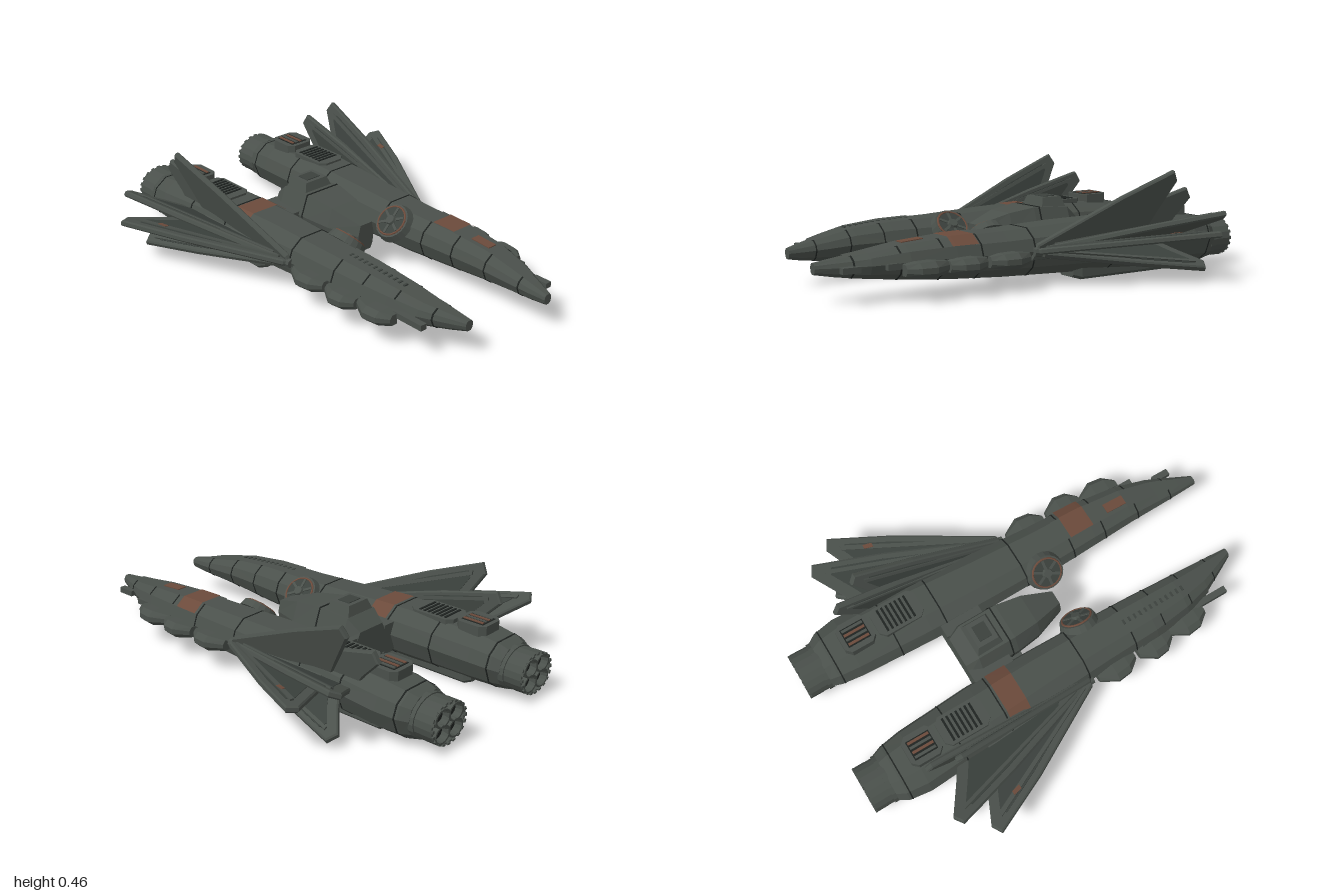
import * as THREE from 'three';

const mat = (name, color) => Object.assign(new THREE.MeshStandardMaterial({ color }), { name });

export function createModel() {
  const model = new THREE.Group();
  const armour = mat('armour grey', 0x4a504b);
  const dark = mat('dark grey', 0x3b413d);
  const seam = mat('seam black', 0x1f2321);
  const rust = mat('rust brown', 0x6b4a3b);

  // Adds a flat-shaded mesh; side -1 mirrors the geometry across x = 0
  function put(name, geo, material, side = 1) {
    const g = geo.index ? geo.toNonIndexed() : geo.clone();
    if (side < 0) {
      const p = g.attributes.position;
      for (let i = 0; i < p.count; i += 3) {
        const t = [0, 2, 1].map(k => new THREE.Vector3().fromBufferAttribute(p, i + k));
        t.forEach((v, k) => p.setXYZ(i + k, -v.x, v.y, v.z));
      }
    }
    g.computeVertexNormals();
    const mesh = new THREE.Mesh(g, material);
    mesh.name = name;
    model.add(mesh);
  }
  const box = (w, h, d, x, y, z) => new THREE.BoxGeometry(w, h, d).translate(x, y, z);

  // Skin through rings ordered along +z, counterclockwise from the front
  function loft(rings, closed = true) {
    const out = [], n = rings[0].length;
    const tri = (...v) => v.forEach(q => out.push(...q));
    for (let k = 0; k < rings.length - 1; k++)
      for (let i = 0; i < (closed ? n : n - 1); i++) {
        const j = (i + 1) % n, a = rings[k], b = rings[k + 1];
        tri(a[i], a[j], b[i]);
        tri(a[j], b[j], b[i]);
      }
    if (closed) for (let i = 1; i < n - 1; i++) {
      const a = rings[0], b = rings[rings.length - 1];
      tri(a[0], a[i + 1], a[i]);
      tri(b[0], b[i], b[i + 1]);
    }
    const g = new THREE.BufferGeometry();
    g.setAttribute('position', new THREE.Float32BufferAttribute(out, 3));
    return g;
  }

  // Hull stations: z, inner x, outer x, bottom, top
  const stations = [
    [-0.89, 0.18, 0.41, 0.03, 0.21], [-0.85, 0.165, 0.435, 0.025, 0.225], [-0.75, 0.15, 0.45, 0.025, 0.24],
    [-0.4, 0.13, 0.43, 0.03, 0.255], [-0.1, 0.13, 0.40, 0.037, 0.25], [0.2, 0.135, 0.38, 0.047, 0.238],
    [0.45, 0.145, 0.37, 0.063, 0.234], [0.65, 0.155, 0.345, 0.08, 0.22], [0.8, 0.16, 0.305, 0.094, 0.196],
    [0.92, 0.165, 0.25, 0.107, 0.178], [1.0, 0.17, 0.212, 0.12, 0.165]];
  const outline = [[1, 0.1], [0.85, 0.62], [0.45, 1], [-0.45, 1], [-0.85, 0.62],
    [-1, 0.1], [-0.8, -0.6], [-0.4, -1], [0.4, -1], [0.8, -0.6]];
  function station(z) {
    let k = 1;
    while (k < stations.length - 1 && stations[k][0] < z) k++;
    const a = stations[k - 1], b = stations[k], t = (z - a[0]) / (b[0] - a[0]);
    return a.map((v, i) => v + (b[i] - v) * t);
  }
  function hullPart(z0, z1, nose, off = 0, from = 0, to = 10) {
    const zs = [z0, ...stations.map(s => s[0]).filter(z => z > z0 && z < z1), z1];
    const rings = zs.map(z => {
      const [, xi, xo, yb, yt] = station(z);
      const zz = z < 0.4 ? z : 0.4 + (z - 0.4) * (nose - 0.4) / 0.6;
      return outline.slice(from, to).map(([u, v]) =>
        [(xi + xo) / 2 + u * ((xo - xi) / 2 + off), (yb + yt) / 2 + v * ((yt - yb) / 2 + off), zz]);
    });
    return loft(rings, to - from === 10);
  }

  // Feather fin: a bevelled blade in the plane of z and the radius at an angle
  function blade(pts, depth, bevel, lift, angle) {
    const shape = new THREE.Shape(pts.map(([r, z]) => new THREE.Vector2(r, -z)));
    return new THREE.ExtrudeGeometry(shape, {
      depth, bevelEnabled: bevel > 0, bevelSize: bevel, bevelThickness: bevel, bevelSegments: 1
    }).rotateX(-Math.PI / 2).translate(0, lift, 0)
      .rotateZ(angle * Math.PI / 180).translate(0.38, 0.15, 0);
  }
  // Fin angle, radius of tip, z of tip, z of front
  const fins = [[75, 0.315, -0.6, 0.1], [83, 0.22, -0.72, 0], [25, 0.315, -0.72, 0.06],
    [9.5, 0.395, -0.6, 0.1], [-26, 0.255, -0.66, 0.08]];

  for (const side of [1, -1]) {
    const nose = side > 0 ? 1 : 0.93;
    const add = (name, geo, m) => put(name, geo, m, side);

    // Hull with seams between armour plates
    add('hull', hullPart(-0.89, 1, nose), armour);
    for (const z of [-0.84, -0.56, -0.33, 0.08, 0.33, 0.5, 0.68, 0.86])
      add('hullSeam', hullPart(z, z + 0.006, nose, 0.002), seam);
    add('noseSpine', hullPart(0.3, 0.88, nose, 0.004, 2, 4), armour);
    add('noseCheek', hullPart(0.36, 0.8, nose, 0.006, 0, 2), armour);

    // Engine shroud, fine toothed rim and four exhaust tubes
    const engine = (g, x = 0, y = 0, z = 0) =>
      g.rotateX(Math.PI / 2).translate(x, y, z).scale(1, 0.84, 1).translate(0.295, 0.12, 0);
    add('engineCollar', engine(new THREE.CylinderGeometry(0.113, 0.113, 0.025, 20), 0, 0, -0.895), armour);
    add('engineShroud', engine(new THREE.CylinderGeometry(0.107, 0.107, 0.055, 20), 0, 0, -0.93), armour);
    const rim = [[0.098, 0.03], [0.098, -0.022], [0.108, -0.022], [0.108, 0.03]];
    add('engineRim', engine(new THREE.LatheGeometry(rim.map(p => new THREE.Vector2(...p)), 20), 0, 0, -0.97), armour);
    for (let i = 0; i < 20; i++)
      add('rimTooth', new THREE.BoxGeometry(0.016, 0.01, 0.01).translate(0, 0.103, -0.995)
        .rotateZ(i * Math.PI / 10).scale(1, 0.84, 1).translate(0.295, 0.12, 0), armour);
    const tube = [[0.03, 0.03], [0.039, -0.03], [0.048, -0.03], [0.048, 0.03]];
    for (let i = 0; i < 4; i++) {
      const a = (i + 0.5) * Math.PI / 2, x = Math.cos(a) * 0.058, y = Math.sin(a) * 0.058;
      add('exhaustTube', engine(new THREE.LatheGeometry(tube.map(p => new THREE.Vector2(...p)), 14), x, y, -0.968), armour);
      add('exhaustCore', engine(new THREE.CylinderGeometry(0.034, 0.034, 0.006, 14), x, y, -0.965), seam);
    }

    // Feather fins with raised inner plates and a rib
    for (const [angle, R, Z, front] of fins) {
      const pts = [[-0.03, front], [0.03, front - 0.03], [R * 0.66, Z * 0.6 + front * 0.3], [R - 0.006, Z + 0.01],
        [R - 0.045, Z - 0.012], [R * 0.42, Z + 0.07], [-0.03, Z + 0.16]];
      add('fin', blade(pts, 0.015, 0.006, -0.0075, angle), armour);
      const c = [R * 0.5, Z * 0.66];
      const inner = pts.map(([r, z]) => [c[0] + (r - c[0]) * 0.72, c[1] + (z - c[1]) * 0.72]);
      add('finPlate', blade(inner, 0.005, 0, 0.011, angle), dark);
      const rib = [[0.02, front - 0.06], [0.035, front - 0.06], [R * 0.86, Z + 0.04], [R * 0.8, Z + 0.04]];
      add('finRib', blade(rib, 0.01, 0, 0.011, angle), armour);
    }
    add('finPatch', blade([[0.26, -0.43], [0.28, -0.43], [0.29, -0.47], [0.27, -0.47]], 0.002, 0, 0.0225, 9.5), rust);
    add('finRoot', new THREE.CylinderGeometry(0.02, 0.055, 0.55, 8).rotateX(Math.PI / 2)
      .translate(0.385, 0.15, -0.18), armour);

    // Angular pods along the outer flank
    for (const [x, z, l] of [[0.415, 0.215, 0.19], [0.415, 0.415, 0.17], [0.395, 0.595, 0.19]]) {
      const ring = (dz, k) => [[0.035, 0.012], [0.01, 0.034], [-0.05, 0.034], [-0.05, -0.034], [0.01, -0.034], [0.035, -0.012]]
        .map(([u, v]) => [x + (u + 0.05) * k - 0.05, 0.13 + v * (0.4 + 0.6 * k), z + dz * l]);
      add('flankPod', loft([ring(-0.5, 0.5), ring(-0.1, 1), ring(0.25, 0.9), ring(0.5, 0.45)]), armour);
    }

    // Top vent housings with chamfered corners
    const housing = (w, d, h, x, y, z) => {
      const c = 0.025, a = w / 2, b = d / 2;
      const s = new THREE.Shape([[-a + c, -b], [a - c, -b], [a, -b + c], [a, b - c], [a - c, b], [-a + c, b], [-a, b - c], [-a, -b + c]]
        .map(p => new THREE.Vector2(...p)));
      return new THREE.ExtrudeGeometry(s, { depth: h, bevelEnabled: false }).rotateX(-Math.PI / 2).translate(x, y, z);
    };
    add('louverHousing', housing(0.14, 0.15, 0.045, 0.29, 0.233, -0.7), armour);
    add('louverWell', box(0.09, 0.006, 0.11, 0.29, 0.277, -0.7), seam);
    for (let i = 0; i < 4; i++)
      add('louver', box(0.012, 0.008, 0.1, 0.257 + i * 0.022, 0.28, -0.7), i % 2 ? armour : rust);
    add('grilleHousing', housing(0.14, 0.22, 0.03, 0.285, 0.234, -0.5), armour);
    for (let i = 0; i < 7; i++)
      add('grilleBar', box(0.11, 0.005, 0.01, 0.285, 0.265, -0.57 + i * 0.022), seam);

    // Belly skid with tapered ends
    const foot = (z, w, b) => [[w, 0.05], [-w, 0.05], [-w, b + 0.012], [-w + 0.012, b], [w - 0.012, b], [w, b + 0.012]]
      .map(([u, v]) => [0.28 + u, v, z]);
    add('skid', loft([foot(-0.72, 0.05, 0.01), foot(-0.69, 0.067, 0), foot(-0.19, 0.067, 0), foot(-0.155, 0.05, 0.01)]), armour);

    // Tilted wheel-shaped turret
    const tilt = g => g.rotateZ(Math.PI / 4).translate(0.137, 0.198, 0.17);
    add('turretDisc', tilt(new THREE.CylinderGeometry(0.08, 0.09, 0.034, 20)), armour);
    add('turretFace', tilt(new THREE.CylinderGeometry(0.066, 0.066, 0.006, 20).translate(0, 0.018, 0)), dark);
    add('turretRing', tilt(new THREE.TorusGeometry(0.068, 0.005, 6, 20).rotateX(Math.PI / 2).translate(0, 0.019, 0)), rust);
    add('turretHub', tilt(new THREE.CylinderGeometry(0.02, 0.026, 0.016, 10).translate(0, 0.026, 0)), armour);
    for (let i = 0; i < 3; i++)
      add('turretSpoke', tilt(new THREE.BoxGeometry(0.125, 0.007, 0.012).translate(0, 0.021, 0).rotateY(i * Math.PI / 3)), armour);

    // Joint between hull and central body
    add('hullJoint', box(0.08, 0.13, 0.19, 0.13, 0.145, -0.265), armour);
    add('jointStrut', box(0.1, 0.03, 0.24, 0.12, 0.075, -0.22), armour);
  }

  // Slats along the nose of the right hull
  for (let i = 0; i < 12; i++) {
    const z = 0.33 + i * 0.028, s = station(z);
    put('noseSlat', box(0.022, 0.006, 0.01, (s[1] + s[2]) / 2, s[4] + 0.003, z), dark, -1);
  }

  // Rust-coloured plates and nose probes
  put('rustPlate', hullPart(0.345, 0.465, 1, 0.006, 1, 4), rust, 1);
  put('rustPlate', hullPart(-0.315, -0.215, 0.93, 0.004, 1, 5), rust, -1);
  put('rustPatch', box(0.045, 0.006, 0.1, 0, 0, 0).rotateX(0.07).translate(0.245, 0.228, 0.6), rust, 1);
  put('noseProbe', box(0.03, 0.025, 0.18, 0.335, 0.145, 0.735), armour, -1);
  put('noseProbe', box(0.03, 0.025, 0.08, 0.285, 0.14, 0.885), armour, 1);
  put('noseProbe', box(0.025, 0.025, 0.16, 0.33, 0.145, 0.67), armour, 1);

  // Central body: octagonal loft tapering toward the front
  const core = (z, w, b, t, k = 1) => [[1, 0.2], [0.72, 1], [-0.72, 1], [-1, 0.2], [-0.85, -0.6], [-0.6, -1], [0.6, -1], [0.85, -0.6]]
    .map(([u, v]) => [u * w * k, (b + t) / 2 + v * (t - b) / 2 * k, z]);
  put('centralBody', loft([core(-0.36, 0.1, 0.09, 0.23), core(-0.3, 0.12, 0.06, 0.28), core(-0.12, 0.12, 0.06, 0.288),
    core(0.0, 0.1, 0.065, 0.27), core(0.14, 0.045, 0.1, 0.225)]), armour);
  put('bodySeam', loft([core(-0.15, 0.122, 0.058, 0.29), core(-0.144, 0.122, 0.058, 0.29)]), seam);
  put('rearBridge', box(0.24, 0.1, 0.19, 0, 0.14, -0.265), armour);
  put('topHatch', new THREE.CylinderGeometry(0.07, 0.09, 0.045, 4, 1).rotateY(Math.PI / 4)
    .scale(1.2, 1, 1).translate(0, 0.302, -0.235), armour);
  put('topHatchPanel', box(0.075, 0.005, 0.06, 0, 0.325, -0.235), dark);
  put('bellyHatch', new THREE.CylinderGeometry(0.05, 0.05, 0.012, 16).translate(0, 0.058, -0.15), dark);
  put('bellyHatchRing', new THREE.TorusGeometry(0.05, 0.006, 6, 16).rotateX(Math.PI / 2).translate(0, 0.056, -0.15), armour);
  return model;
}
